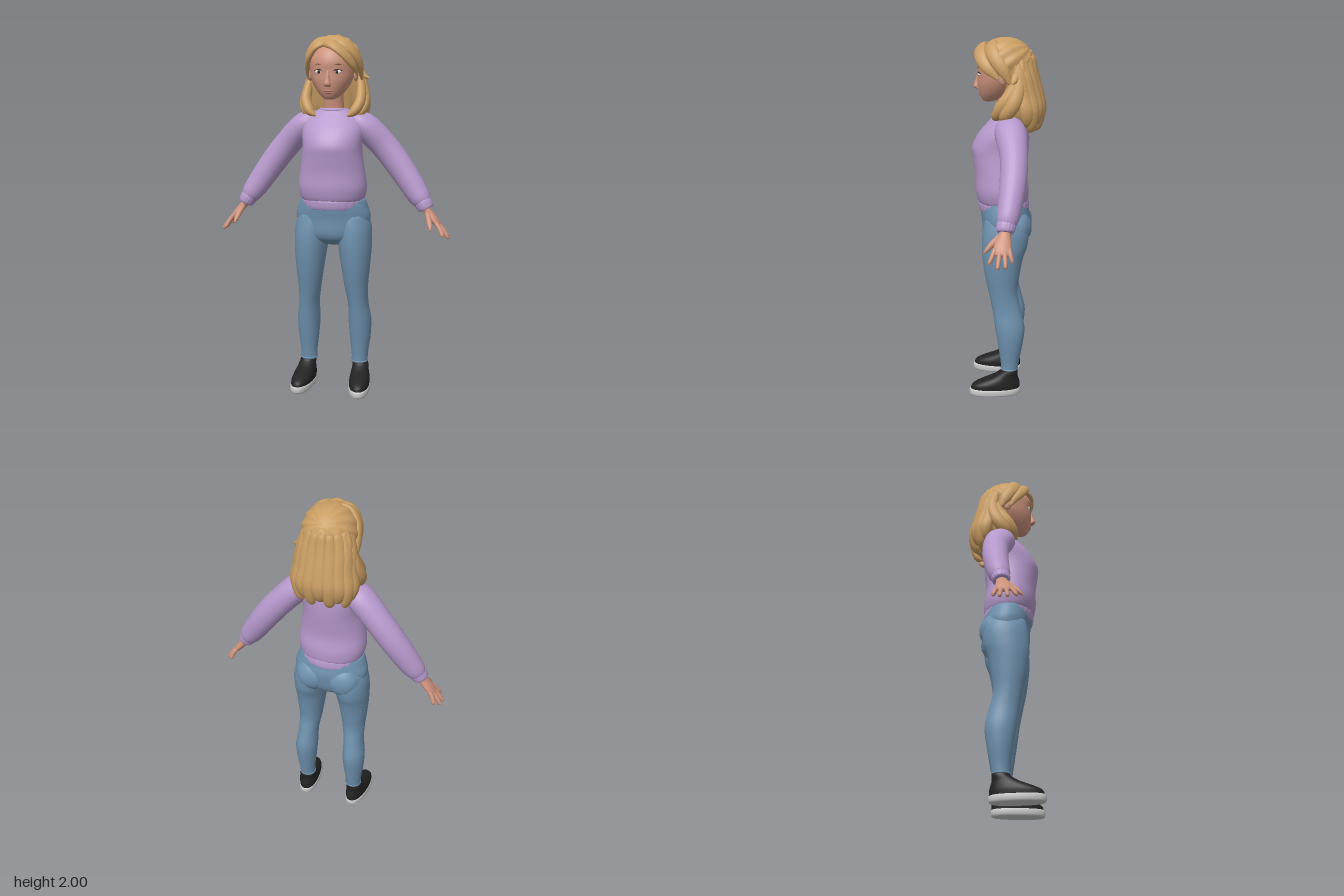
import * as THREE from 'three';

const paint = (name, color, side = THREE.FrontSide) => {
  const m = new THREE.MeshStandardMaterial({ color, side });
  m.name = name;
  return m;
};
const V = (x, y, z) => new THREE.Vector3(x, y, z);
const X = V(1, 0, 0), Y = V(0, 1, 0), Z = V(0, 0, 1);

// Smooth closed skin through rings [x, y, z, a, b]; b is the radius along ref, a the one across it.
// level keeps rings horizontal, sq squares the outline, ripple = [count, depth].
function loft(rings, { ref = X, level = false, seg = 24, steps = 4, sq = 1, ripple = [0, 0] } = {}) {
  const path = new THREE.CatmullRomCurve3(rings.map(r => V(r[0], r[1], r[2])), false, 'catmullrom');
  const size = new THREE.CatmullRomCurve3(rings.map(r => V(r[3], r[4], 0)), false, 'catmullrom');
  const n = (rings.length - 1) * steps, pos = [], idx = [];
  const pw = c => Math.sign(c) * Math.abs(c) ** sq;
  for (let i = 0; i <= n; i++) {
    const c = path.getPoint(i / n), s = size.getPoint(i / n);
    const t = level ? Y : path.getTangent(i / n);
    const v = ref.clone().addScaledVector(t, -ref.dot(t)).normalize();
    const u = v.clone().cross(t);
    for (let j = 0; j < seg; j++) {
      const th = j / seg * Math.PI * 2, k = 1 + ripple[1] * Math.cos(ripple[0] * th);
      const p = c.clone().addScaledVector(u, s.x * k * pw(Math.cos(th))).addScaledVector(v, s.y * k * pw(Math.sin(th)));
      pos.push(p.x, p.y, p.z);
    }
  }
  for (let i = 0; i < n; i++) for (let j = 0; j < seg; j++) {
    const a = i * seg + j, b = i * seg + (j + 1) % seg;
    idx.push(a, b, b + seg, a, b + seg, a + seg);
  }
  const first = rings[0], last = rings[rings.length - 1], c0 = pos.length / 3, e = n * seg;
  pos.push(first[0], first[1], first[2], last[0], last[1], last[2]);
  for (let j = 0; j < seg; j++) {
    const k = (j + 1) % seg;
    idx.push(c0, k, j, c0 + 1, e + j, e + k);
  }
  const g = new THREE.BufferGeometry();
  g.setAttribute('position', new THREE.Float32BufferAttribute(pos, 3));
  g.setIndex(idx);
  g.computeVertexNormals();
  return g;
}

const blob = (x, y, z, rx, ry, rz, seg = 20) =>
  new THREE.SphereGeometry(1, seg, Math.round(seg * 0.7)).scale(rx, ry, rz).translate(x, y, z);

function mirrored(geo) {
  const g = geo.clone().scale(-1, 1, 1), a = g.index.array;
  for (let i = 0; i < a.length; i += 3) [a[i], a[i + 1]] = [a[i + 1], a[i]];
  return g;
}

export function createModel() {
  const model = new THREE.Group();
  const skin = paint('skin', 0xcc927c), lip = paint('lip', 0xb9766a), hair = paint('hair', 0xc99d63, THREE.DoubleSide);
  const wool = paint('lilac wool', 0xb699cc), denim = paint('denim', 0x6e91ae);
  const black = paint('black canvas', 0x222223), rubber = paint('pale rubber', 0xc4c5c4);
  const white = paint('eye white', 0xe6e2de), dark = paint('dark brown', 0x3a2a22), brow = paint('brow', 0x946a45);
  const add = (name, geo, mat) => {
    const m = new THREE.Mesh(geo, mat);
    m.name = name;
    model.add(m);
  };
  const pair = (name, geo, mat) => { add(name + 'Left', geo, mat); add(name + 'Right', mirrored(geo), mat); };
  const body = { level: true, seg: 40 };

  // Jeans
  add('jeansHips', loft([[0, .85, .02, .05, .07], [0, .9, .015, .118, .175], [0, 1, .008, .134, .21],
    [0, 1.06, .015, .135, .198], [0, 1.11, .02, .13, .18]], body), denim);
  pair('jeansLeg', loft([[.105, 1.02, .005, .115, .09], [.116, .95, .006, .127, .1], [.124, .87, .012, .126, .096],
    [.128, .8, .022, .112, .09], [.132, .7, .025, .096, .078], [.135, .6, .02, .08, .066], [.143, .5, 0, .08, .058],
    [.15, .4, -.018, .083, .065], [.152, .3, -.02, .07, .06], [.151, .2, -.018, .053, .048], [.15, .145, -.015, .046, .046]]
    .reverse(), { ...body, seg: 28 }), denim);
  pair('jeansCuff', new THREE.TorusGeometry(.044, .006, 8, 28).rotateX(Math.PI / 2).translate(.15, .152, -.015), denim);
  pair('seat', blob(.09, .97, -.055, .098, .1, .08), denim);
  pair('backPocket', new THREE.SphereGeometry(1, 12, 10, Math.PI * 1.5 - .55, 1.1, 1.0, 1.0)
    .scale(.101, .103, .083).translate(.09, .97, -.055), denim);

  // Ankles and shoes
  pair('ankle', new THREE.CylinderGeometry(.036, .038, .09, 20).translate(.15, .135, -.018), skin);
  const place = g => g.rotateY(.1).translate(.157, 0, 0);
  pair('shoeSole', place(loft([[0, 0, .067, .138, .055], [0, .01, .067, .146, .061], [0, .032, .067, .146, .061],
    [0, .04, .067, .139, .056]], { ...body, sq: .88, steps: 2 })), rubber);
  pair('shoeUpper', place(loft([[0, .036, .066, .14, .057], [0, .062, .06, .135, .058], [0, .085, .04, .11, .054],
    [0, .11, .01, .073, .048], [0, .135, -.012, .052, .045], [0, .148, -.016, .046, .041]], { ...body, sq: .9 })), black);

  // Sweater
  add('sweaterBody', loft([[0, 1.1, .022, .134, .172], [0, 1.125, .025, .143, .183], [0, 1.18, .03, .148, .191],
    [0, 1.26, .036, .142, .181], [0, 1.35, .038, .152, .168], [0, 1.41, .037, .157, .165], [0, 1.48, .02, .14, .17],
    [0, 1.54, 0, .11, .155], [0, 1.58, -.006, .08, .11], [0, 1.605, -.006, .06, .072]], { ...body, sq: .94 }), wool);
  add('sweaterHem', loft([[0, 1.058, .02, .136, .17], [0, 1.075, .02, .141, .176], [0, 1.1, .022, .141, .177],
    [0, 1.115, .022, .136, .174]], { ...body, seg: 96, ripple: [24, .008] }), wool);
  add('collar', new THREE.TorusGeometry(.07, .011, 10, 36).rotateX(Math.PI / 2).scale(1, 1, .88).translate(0, 1.596, -.004), wool);
  pair('sleeve', loft([[.07, 1.53, -.005, .05, .05], [.16, 1.512, -.02, .074, .085], [.275, 1.4, -.042, .075, .074],
    [.37, 1.28, -.04, .073, .07], [.45, 1.165, -.024, .066, .062], [.485, 1.115, -.014, .058, .056],
    [.503, 1.09, -.008, .046, .046]], { ref: Z }), wool);
  pair('sleeveCuff', loft([[.492, 1.105, -.01, .045, .046], [.502, 1.09, -.008, .048, .049], [.516, 1.066, -.004, .044, .046],
    [.521, 1.057, -.003, .036, .038]], { ref: Z, seg: 64, ripple: [16, .02] }), wool);

  // Hands
  pair('palm', loft([[.505, 1.085, -.005, .023, .029], [.53, 1.045, -.001, .021, .031], [.555, 1.015, .005, .021, .041],
    [.58, .985, .01, .018, .044], [.602, .96, .012, .01, .036]], { ref: Z }), skin);
  const fingers = [[.045, .622, .92, .072], [.021, .647, .904, .03], [-.003, .643, .906, -.008], [-.024, .613, .926, -.041]];
  fingers.forEach(([z, x, y, tz], i) => pair('finger' + (i + 1), loft([[.578, .99, z, .012, .012],
    [(.582 + x) / 2, (.995 + y) / 2, (z + tz) / 2, .0125, .0115], [x - .006, y + .008, tz, .0105, .0095], [x, y, tz, .003, .003]],
    { ref: Z, seg: 12 }), skin));
  pair('thumb', loft([[.528, 1.04, .02, .016, .018], [.54, 1.008, .057, .0155, .016], [.549, .978, .085, .013, .012],
    [.554, .958, .103, .004, .004]], { ref: Z, seg: 14 }), skin);

  // Head and face
  add('neck', loft([[0, 1.55, -.01, .058, .066], [0, 1.62, 0, .053, .056], [0, 1.74, .015, .056, .056]], body), skin);
  add('head', loft([[0, 1.655, .105, .014, .018], [0, 1.667, .09, .046, .043], [0, 1.7, .064, .087, .077],
    [0, 1.75, .047, .113, .107], [0, 1.8, .035, .125, .121], [0, 1.86, .025, .136, .125], [0, 1.92, .01, .12, .11],
    [0, 1.965, .005, .06, .06]], body), skin);
  add('nose', loft([[0, 1.725, .158, .012, .018], [0, 1.738, .168, .016, .019], [0, 1.765, .163, .013, .011],
    [0, 1.81, .154, .008, .008]], { level: true, seg: 16 }), skin);
  add('upperLip', blob(0, 1.702, .147, .026, .005, .008), lip);
  add('lowerLip', blob(0, 1.692, .142, .021, .006, .009), lip);
  pair('ear', blob(.126, 1.785, .02, .013, .034, .022).rotateZ(0), skin);
  pair('eye', blob(.05, 1.803, .147, .022, .011, .008), white);
  pair('iris', blob(.049, 1.803, .1525, .008, .009, .004, 14), dark);
  pair('lash', loft([[.027, 1.806, .153, .002, .002], [.047, 1.815, .154, .003, .003], [.076, 1.808, .141, .002, .002]],
    { ref: Y, seg: 8 }), dark);
  pair('eyebrow', loft([[.022, 1.833, .158, .002, .004], [.052, 1.843, .149, .003, .005], [.084, 1.835, .126, .002, .002]],
    { ref: Y, seg: 8 }), brow);

  // Hair cap, combed outward from the crown and open over the face
  const cap = new THREE.SphereGeometry(1, 112, 32, 0, Math.PI * 2, 0, Math.PI * .58);
  const p = cap.attributes.position;
  for (let i = 0; i < p.count; i++) {
    const x = p.getX(i), z = p.getZ(i);
    const k = 1 + .022 * Math.cos(14 * Math.atan2(z, x)) * Math.hypot(x, z);
    p.setXYZ(i, x * k, p.getY(i) * k, z * k);
  }
  cap.rotateX(-.9).scale(.148, .147, .16).translate(.006, 1.85, .008);
  cap.computeVertexNormals();
  add('hairCap', cap, hair);
  add('hairBack', loft([[0, 1.93, -.03, .1, .105], [0, 1.85, -.055, .097, .142], [0, 1.75, -.07, .1, .15],
    [0, 1.65, -.092, .1, .168], [0, 1.58, -.1, .088, .155], [0, 1.54, -.105, .06, .11], [0, 1.525, -.105, .02, .05]],
    { ...body, seg: 108, ripple: [13, .025] }), hair);

  // Loose locks round the back
  for (let i = 0; i < 9; i++) {
    const al = (i - 4) * .36, s = Math.sin(al), c = -Math.cos(al), d = (i % 2) * .025;
    const ring = (r, rz, y, z0, a, b) => [s * r, y, z0 + c * rz, a, b];
    add('backLock' + (i + 1), loft([ring(.11, .11, 1.9, -.03, .012, .02), ring(.142, .1, 1.8, -.055, .018, .032),
      ring(.152, .105, 1.7, -.075, .02, .036), ring(.168, .102, 1.62, -.092, .02, .036),
      ring(.145, .07, 1.555 - d, -.1, .02, .028), ring(.115, .04, 1.53 - d, -.1, .004, .006)],
      { ref: V(Math.cos(al), 0, s), seg: 14 }), hair);
  }

  // Side locks curling forward below the ears
  const sideLocks = [
    [[.125, 1.82, -.05, .015, .02], [.146, 1.73, -.035, .024, .034], [.152, 1.65, .018, .028, .035],
      [.125, 1.592, .052, .026, .03], [.088, 1.565, .07, .005, .006]],
    [[.135, 1.82, -.07, .015, .02], [.158, 1.72, -.06, .024, .036], [.172, 1.645, -.03, .026, .038],
      [.158, 1.59, .008, .024, .032], [.125, 1.555, .03, .005, .006]],
  ];
  sideLocks.forEach((r, i) => pair('sideLock' + (i + 1), loft(r, { ref: Z, seg: 16, steps: 5 }), hair));
  add('hairFlick', loft([[.14, 1.81, -.05, .014, .02], [.166, 1.778, -.04, .013, .018], [.194, 1.766, -.03, .003, .004]],
    { ref: Z, seg: 12 }), hair);

  // Fringe swept to both sides of the parting
  const fringe = [
    [[-.04, 1.955, .105, .014, .02], [.02, 1.945, .14, .018, .034], [.08, 1.9, .139, .018, .036],
      [.122, 1.842, .1, .016, .032], [.142, 1.785, .045, .004, .008]],
    [[-.03, 1.975, .06, .012, .022], [.06, 1.958, .085, .018, .036], [.122, 1.905, .068, .018, .038],
      [.148, 1.835, .02, .018, .034], [.152, 1.76, -.02, .006, .01]],
    [[-.025, 1.957, .11, .014, .022], [-.072, 1.935, .122, .017, .03], [-.112, 1.885, .103, .017, .032],
      [-.13, 1.83, .068, .015, .026], [-.136, 1.775, .04, .004, .007]],
    [[-.02, 1.975, .055, .012, .022], [-.078, 1.953, .07, .018, .036], [-.124, 1.9, .052, .018, .038],
      [-.14, 1.83, .012, .018, .034], [-.147, 1.76, -.02, .006, .01]],
  ];
  fringe.forEach((r, i) => add('fringe' + (i + 1), loft(r, { ref: V(0, .6, -.8), seg: 16, steps: 5 }), hair));

  return model;
}
